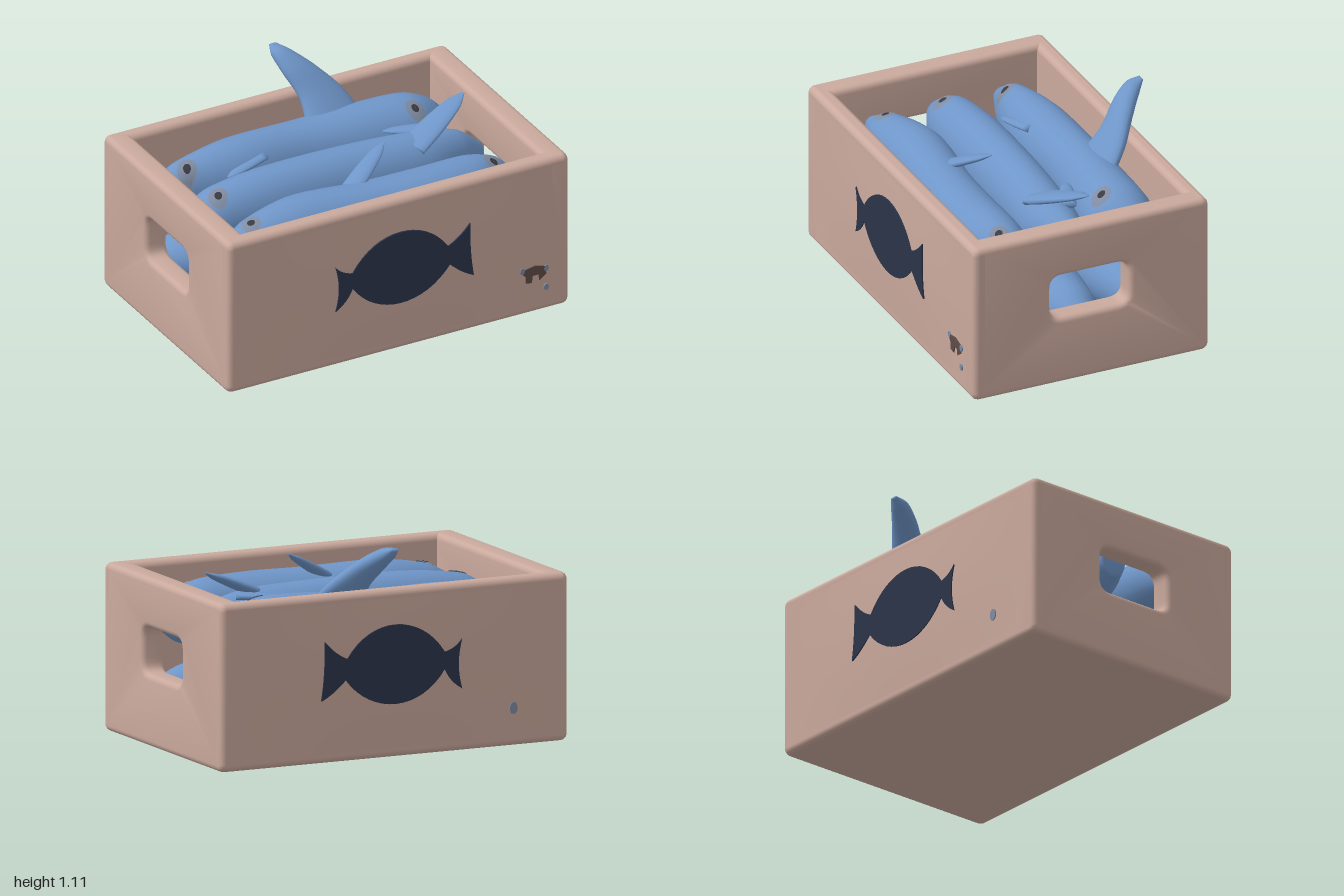
import * as THREE from 'three';
import { toCreasedNormals } from 'three/addons/utils/BufferGeometryUtils.js';
import { RoundedBoxGeometry } from 'three/addons/geometries/RoundedBoxGeometry.js';

const material = (name, color, side = THREE.FrontSide) =>
  Object.assign(new THREE.MeshStandardMaterial({ color, side }), { name });

const V = (x, y, z) => new THREE.Vector3(x, y, z);

// Smooth tube of elliptical rings; each section is [x, y, z, radiusA, radiusB]
function loft(sections, axisA, axisB, steps = 32, sides = 20) {
  const path = new THREE.CatmullRomCurve3(sections.map(s => V(s[0], s[1], s[2])));
  const size = new THREE.CatmullRomCurve3(sections.map((s, i) => V(s[3], s[4], i * 0.1)));
  const pos = [], index = [], rings = [];
  for (let i = 0; i <= steps; i++) {
    const c = path.getPoint(i / steps), r = size.getPoint(i / steps);
    const a = Math.max(r.x, 0.001), b = Math.max(r.y, 0.001);
    rings.push({ c, a, b });
    for (let j = 0; j < sides; j++) {
      const t = j / sides * Math.PI * 2;
      const p = c.clone().addScaledVector(axisA, a * Math.cos(t)).addScaledVector(axisB, b * Math.sin(t));
      pos.push(p.x, p.y, p.z);
    }
  }
  const along = path.getPoint(1).sub(path.getPoint(0));
  const flip = axisA.clone().cross(axisB).dot(along) < 0;
  const tri = (a, b, c) => flip ? index.push(a, c, b) : index.push(a, b, c);
  for (let i = 0; i < steps; i++) for (let j = 0; j < sides; j++) {
    const k = (j + 1) % sides, p = i * sides, q = p + sides;
    tri(p + j, p + k, q + j);
    tri(p + k, q + k, q + j);
  }
  for (let j = 1; j < sides - 1; j++) {
    const e = steps * sides;
    tri(0, j + 1, j);
    tri(e, e + j, e + j + 1);
  }
  const geo = new THREE.BufferGeometry();
  geo.setAttribute('position', new THREE.Float32BufferAttribute(pos, 3));
  geo.setIndex(index);
  geo.computeVertexNormals();
  return { geo, rings };
}

// Height of a fish's back above the point (x, z)
function topAt(rings, x, z) {
  let i = 0;
  while (i < rings.length - 2 && rings[i + 1].c.x < x) i++;
  const p = rings[i], q = rings[i + 1];
  const t = THREE.MathUtils.clamp((x - p.c.x) / (q.c.x - p.c.x), 0, 1);
  const mix = (a, b) => a + (b - a) * t;
  const u = (z - mix(p.c.z, q.c.z)) / mix(p.a, q.a);
  return mix(p.c.y, q.c.y) + mix(p.b, q.b) * Math.sqrt(Math.max(0, 1 - u * u));
}

function roundedRect(target, x0, y0, x1, y1, r) {
  target.moveTo(x0 + r, y0);
  target.lineTo(x1 - r, y0).quadraticCurveTo(x1, y0, x1, y0 + r);
  target.lineTo(x1, y1 - r).quadraticCurveTo(x1, y1, x1 - r, y1);
  target.lineTo(x0 + r, y1).quadraticCurveTo(x0, y1, x0, y1 - r);
  target.lineTo(x0, y0 + r).quadraticCurveTo(x0, y0, x0 + r, y0);
  return target;
}

export function createModel() {
  const crateMat = material('crate tan', 0xcaa99d);
  const floorMat = material('dark brown', 0x5f4c48);
  const navyMat = material('navy', 0x2b3449);
  const fishMat = material('fish blue', 0x6f96c9);
  const greyMat = material('grey blue', 0x7f8ca3, THREE.DoubleSide);
  const pupilMat = material('pupil', 0x3a3a42, THREE.DoubleSide);

  const model = new THREE.Group();
  const add = (name, geo, mat, parent = model) => {
    const mesh = new THREE.Mesh(geo, mat);
    mesh.name = name;
    parent.add(mesh);
    return mesh;
  };

  // Crate: long walls, with a slightly bulging skin
  const H = 0.88, zFront = 0.70, zBack = -0.64;
  const bulgedPanel = () => {
    const g = new THREE.PlaneGeometry(1.9, 0.8, 24, 12), p = g.attributes.position;
    for (let i = 0; i < p.count; i++)
      p.setZ(i, 0.014 * Math.cos(p.getX(i) * Math.PI / 1.9) * Math.cos(p.getY(i) * Math.PI / 0.8) - 0.0005);
    g.computeVertexNormals();
    return g;
  };
  for (const [name, z, t, s] of [['front', zFront, 0.10, 1], ['back', zBack, 0.09, -1]]) {
    add(name + 'Wall', new RoundedBoxGeometry(2, H, t, 4, 0.035), crateMat).position.set(0, H / 2, z - s * t / 2);
    const panel = add(name + 'Panel', bulgedPanel(), crateMat);
    panel.position.set(0, H / 2, z);
    if (s < 0) panel.rotation.y = Math.PI;
  }

  // End walls with a rounded handle hole
  const bevel = 0.03;
  const endShape = roundedRect(new THREE.Shape(), -zFront + bevel, bevel, -zBack - bevel, H - bevel, 0.012);
  endShape.holes.push(roundedRect(new THREE.Path(), -0.29, 0.345, 0.215, 0.65, 0.10));
  const endGeo = toCreasedNormals(new THREE.ExtrudeGeometry(endShape, {
    depth: 0.13 - 2 * bevel, bevelSize: bevel, bevelThickness: bevel, bevelSegments: 4, curveSegments: 8,
  }).translate(0, 0, -0.065 + bevel).rotateY(Math.PI / 2), 0.6);
  for (const s of [1, -1]) add(s > 0 ? 'leftEndWall' : 'rightEndWall', endGeo, crateMat).position.x = s * 0.935;

  // Bottom and dark inner floor
  add('bottom', new RoundedBoxGeometry(1.98, 0.07, 1.32, 3, 0.03), crateMat).position.set(0, 0.035, 0.03);
  add('innerFloor', new THREE.BoxGeometry(1.76, 0.008, 1.17), floorMat).position.set(0, 0.073, 0.025);

  // Fish emblem on both long sides
  const emblem = new THREE.Shape();
  emblem.moveTo(-0.28, 0.53);
  emblem.bezierCurveTo(-0.14, 0.75, 0.14, 0.75, 0.28, 0.54);
  emblem.quadraticCurveTo(0.35, 0.57, 0.41, 0.64);
  emblem.quadraticCurveTo(0.405, 0.48, 0.43, 0.33);
  emblem.quadraticCurveTo(0.36, 0.36, 0.29, 0.43);
  emblem.bezierCurveTo(0.14, 0.23, -0.14, 0.23, -0.28, 0.44);
  emblem.quadraticCurveTo(-0.31, 0.37, -0.38, 0.33);
  emblem.quadraticCurveTo(-0.34, 0.46, -0.38, 0.59);
  emblem.quadraticCurveTo(-0.34, 0.54, -0.28, 0.53);
  const plate = (shape, depth) => new THREE.ExtrudeGeometry(shape, { depth, bevelEnabled: false, curveSegments: 16 });
  add('frontEmblem', plate(emblem, 0.009), navyMat).position.z = zFront + 0.008;
  add('backEmblem', plate(emblem, 0.009), navyMat).position.z = zBack - 0.017;

  // Worn mark and paint flecks
  const mark = new THREE.Shape([[0.71, 0.26], [0.74, 0.27], [0.79, 0.28], [0.85, 0.265], [0.86, 0.22], [0.82, 0.19],
    [0.815, 0.225], [0.78, 0.225], [0.775, 0.185], [0.74, 0.19], [0.74, 0.225]].map(p => new THREE.Vector2(...p)));
  add('wornMark', plate(mark, 0.006), floorMat).position.z = zFront + 0.002;
  const fleck = (x, y, z, rx, ry) => {
    const m = add('paintFleck', new THREE.CylinderGeometry(1, 1, 0.009, 12).rotateX(Math.PI / 2), greyMat);
    m.position.set(x, y, z);
    m.scale.set(rx, ry, 1);
  };
  for (const [x, y] of [[0.72, 0.265], [0.86, 0.25], [0.86, 0.14]]) fleck(x, y, zFront + 0.004, 0.014, 0.018);
  fleck(-0.68, 0.2, zBack - 0.004, 0.022, 0.032);

  // Fish bodies: [x, y, z, half width, half height]
  const fishes = {
    backFish: {
      body: [[-0.87, 0.64, -0.35, 0.05, 0.05], [-0.72, 0.64, -0.34, 0.1, 0.14], [-0.4, 0.63, -0.34, 0.165, 0.2],
        [0, 0.63, -0.355, 0.16, 0.19], [0.4, 0.63, -0.325, 0.18, 0.21], [0.62, 0.63, -0.315, 0.185, 0.2],
        [0.76, 0.63, -0.33, 0.12, 0.13], [0.85, 0.62, -0.35, 0.03, 0.04]],
      eyes: [[-0.7, -0.285], [0.6, -0.215]],
    },
    middleFish: {
      body: [[-0.87, 0.63, 0.01, 0.07, 0.07], [-0.72, 0.63, 0.01, 0.135, 0.16], [-0.4, 0.63, 0.01, 0.16, 0.2],
        [0.1, 0.63, 0.015, 0.16, 0.2], [0.5, 0.63, 0.03, 0.15, 0.18], [0.72, 0.62, 0.02, 0.1, 0.14],
        [0.85, 0.61, 0.02, 0.04, 0.05]],
      eyes: [[-0.71, 0.065]],
    },
    frontFish: {
      body: [[-0.87, 0.64, 0.39, 0.04, 0.05], [-0.7, 0.64, 0.375, 0.125, 0.14], [-0.4, 0.63, 0.355, 0.175, 0.2],
        [0, 0.63, 0.385, 0.17, 0.19], [0.3, 0.63, 0.4, 0.18, 0.19], [0.6, 0.63, 0.38, 0.16, 0.18],
        [0.76, 0.63, 0.365, 0.11, 0.13], [0.85, 0.62, 0.36, 0.04, 0.05]],
      eyes: [[-0.7, 0.395], [0.71, 0.42]],
    },
  };
  const Z = V(0, 0, 1), Y = V(0, 1, 0);
  for (const [name, { body, eyes }] of Object.entries(fishes)) {
    const group = new THREE.Group();
    group.name = name;
    model.add(group);
    const { geo, rings } = loft(body, Z, Y, 44, 24);
    add('body', geo, fishMat, group);
    // Eyes follow the curve of the body
    const disc = (part, x, z, inner, outer, lift, mat) => {
      const g = new THREE.RingGeometry(inner, outer, 20, 4).rotateX(-Math.PI / 2).translate(x, 0, z);
      const p = g.attributes.position;
      for (let i = 0; i < p.count; i++) p.setY(i, topAt(rings, p.getX(i), p.getZ(i)) + lift);
      g.computeVertexNormals();
      add(part, g, mat, group);
    };
    for (const [x, z] of eyes) {
      disc('eye', x, z, 0.001, 0.052, 0.006, greyMat);
      disc('pupil', x, z, 0.001, 0.02, 0.009, pupilMat);
    }
    // Lower layer lies beneath, head to tail
    const low = body.map(([x, y, z, a, b]) => [-x, y - 0.385, z, a, b * 0.85]);
    add('lowerBody', loft(low, Z, Y).geo, fishMat, group);
  }

  // Tall fin standing out of the crate
  add('tallFin', loft([[0.22, 0.74, -0.36, 0.17, 0.05], [0.19, 0.88, -0.475, 0.125, 0.05], [0.11, 1.0, -0.575, 0.09, 0.048],
    [0.055, 1.07, -0.655, 0.055, 0.038], [0.035, 1.1, -0.71, 0.02, 0.01]], V(1, 0, 0), V(0, 0.71, 0.71)).geo, fishMat);

  // Small fins: root, tip, half chord, half thickness
  const fin = (name, root, tip, chord, thick) => {
    const dir = tip.clone().sub(root), a = dir.clone().cross(Y).normalize(), b = a.clone().cross(dir).normalize();
    const at = (t, k) => [...root.clone().addScaledVector(dir, t).toArray(), chord * k, thick * k];
    add(name, loft([at(0, 1), at(0.4, 0.9), at(0.8, 0.6), at(1, 0.1)], a, b, 12, 14).geo, fishMat);
  };
  fin('middleDorsalFin', V(0.42, 0.77, 0.08), V(0.79, 0.93, -0.05), 0.085, 0.028);
  fin('middleSideFin', V(0.6, 0.79, -0.02), V(0.36, 0.78, -0.13), 0.05, 0.02);
  fin('frontDorsalFin', V(-0.1, 0.77, 0.34), V(0.18, 0.93, 0.21), 0.06, 0.025);
  fin('frontFlipper', V(-0.3, 0.72, 0.48), V(-0.53, 0.72, 0.54), 0.04, 0.02);
  fin('frontTail', V(0.1, 0.74, 0.5), V(-0.21, 0.68, 0.57), 0.06, 0.025);
  fin('backFlipper', V(-0.28, 0.76, -0.24), V(-0.52, 0.72, -0.18), 0.045, 0.02);
  fin('backTail', V(0.72, 0.68, -0.34), V(0.85, 0.68, -0.36), 0.08, 0.02);
  return model;
}
